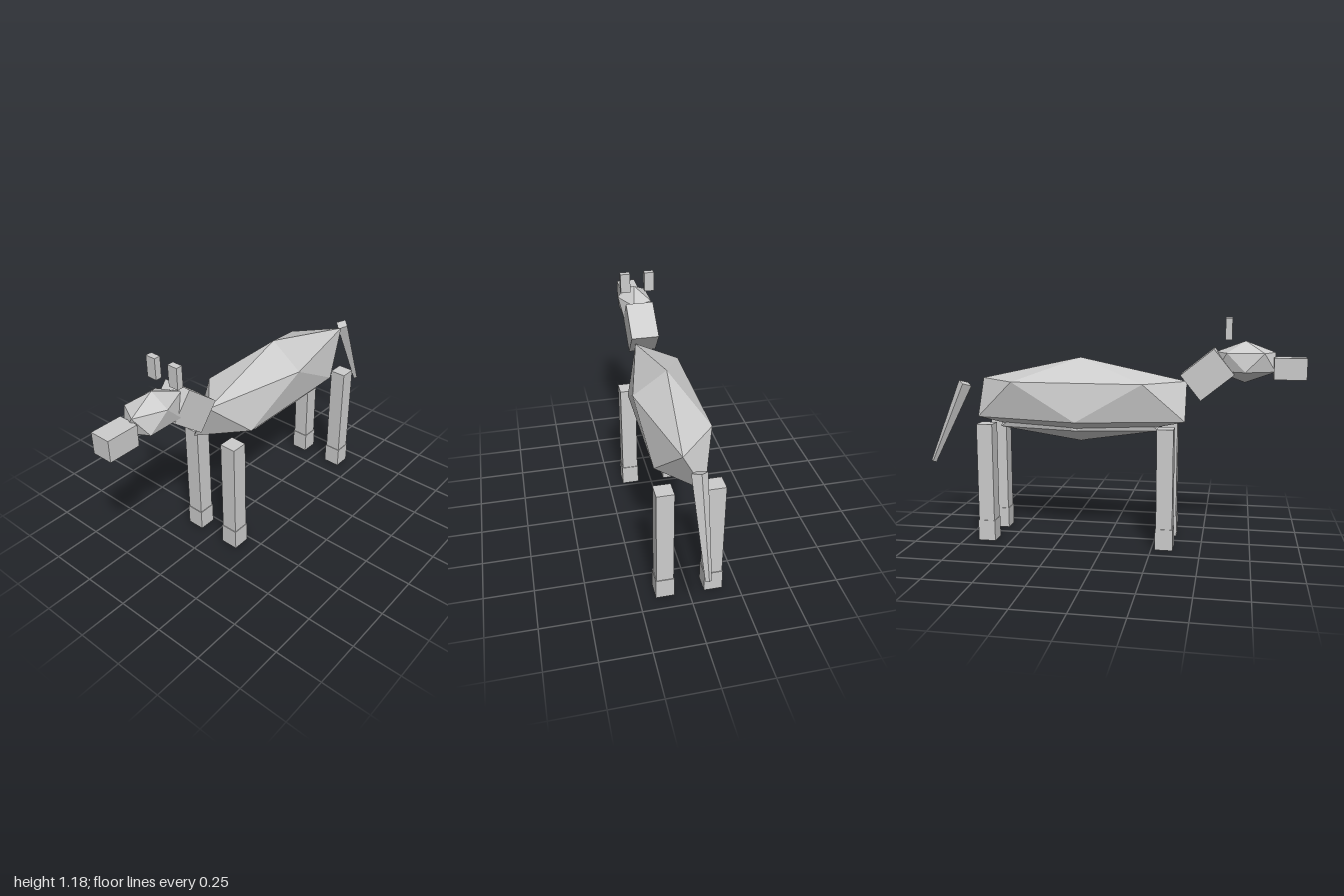
import * as THREE from 'three';
import { ConvexGeometry } from 'three/addons/geometries/ConvexGeometry.js';

const grey = new THREE.MeshStandardMaterial({ color: 0xcccccc, flatShading: true });
grey.name = 'plain grey';

function add(parent, name, geometry, x, y, z, tilt = 0) {
  const mesh = new THREE.Mesh(geometry, grey);
  mesh.name = name;
  mesh.position.set(x, y, z);
  mesh.rotation.x = tilt;
  parent.add(mesh);
  return mesh;
}

// Twenty-sided ball standing on a corner: two poles and two staggered rings of five
function facetedBall(rx, ry, rz) {
  const points = [new THREE.Vector3(0, ry, 0), new THREE.Vector3(0, -ry, 0)];
  for (let i = 0; i < 5; i++) {
    const a = (i * Math.PI * 2) / 5;
    const c = Math.cos(a) * 0.8944, s = Math.sin(a) * 0.8944;
    points.push(new THREE.Vector3(c * rx, 0.4472 * ry, s * rz));
    points.push(new THREE.Vector3(-c * rx, -0.4472 * ry, s * rz));
  }
  return new ConvexGeometry(points);
}

const box = (w, h, d) => new THREE.BoxGeometry(w, h, d);

export function createModel() {
  const animal = new THREE.Group();
  animal.name = 'animal';

  // Trunk
  add(animal, 'body', facetedBall(0.19, 0.222, 0.65), 0, 0.75, -0.148);
  add(animal, 'belly', facetedBall(0.13, 0.127, 0.5), 0, 0.656, -0.153);

  // Neck and head
  add(animal, 'neck', box(0.152, 0.165, 0.213), 0, 0.896, 0.513, -0.682);
  add(animal, 'head', facetedBall(0.108, 0.105, 0.175), 0, 0.96, 0.7);
  add(animal, 'muzzle', box(0.106, 0.108, 0.16), 0, 0.93, 0.92);

  for (const side of [1, -1]) {
    const label = side > 0 ? 'left' : 'right';
    add(animal, label + 'Ear', box(0.054, 0.108, 0.033), side * 0.067, 1.126, 0.615);

    // Legs with slightly wider hooves
    for (const [end, z] of [['Front', 0.315], ['Back', -0.63]]) {
      const leg = new THREE.Group();
      leg.name = label + end + 'Leg';
      leg.position.set(side * 0.122, 0, z);
      add(leg, 'shank', box(0.086, 0.519, 0.084), 0, 0.3685, 0);
      add(leg, 'hoof', box(0.093, 0.11, 0.091), 0, 0.055, 0);
      animal.add(leg);
    }
  }

  // Tapered four-sided tail
  add(animal, 'tail', new THREE.CylinderGeometry(0.038, 0.015, 0.481, 4), 0, 0.604, -0.887, 0.423);

  return animal;
}
